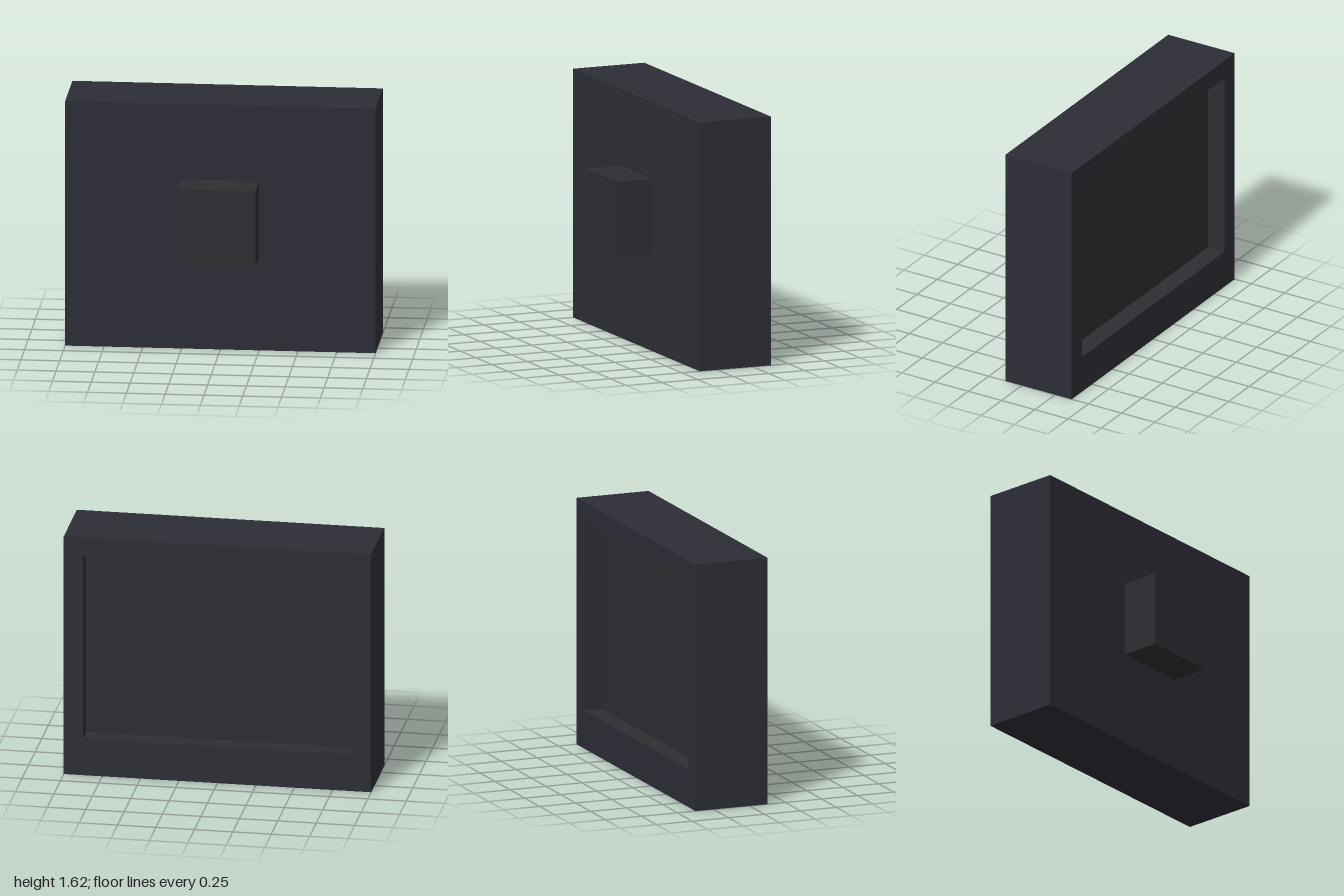
import * as THREE from 'three';

const shell = new THREE.MeshStandardMaterial({ name: 'dark slate', color: 0x2d2d36 });
const inset = new THREE.MeshStandardMaterial({ name: 'charcoal', color: 0x2d2e32 });

// Box without its -z face; inward turns the remaining faces to the inside
function backlessBox(w, h, d, inward = false) {
  const geo = new THREE.BoxGeometry(w, h, d);
  const index = Array.from(geo.index.array).slice(0, 30);
  geo.clearGroups();
  if (inward) {
    index.reverse();
    const n = geo.attributes.normal;
    for (let i = 0; i < n.array.length; i++) n.array[i] *= -1;
  }
  geo.setIndex(index);
  return geo;
}

function rect(target, x0, y0, x1, y1) {
  target.moveTo(x0, y0);
  target.lineTo(x1, y0);
  target.lineTo(x1, y1);
  target.lineTo(x0, y1);
  target.closePath();
  return target;
}

export function createModel() {
  const group = new THREE.Group();
  group.name = 'wallPanel';
  const add = (name, geo, mat, x, y, z) => {
    const mesh = new THREE.Mesh(geo, mat);
    mesh.name = name;
    mesh.position.set(x, y, z);
    group.add(mesh);
    return mesh;
  };

  // Main casing, closed at the back by the rim and the recess
  add('casing', backlessBox(2, 1.625, 0.5), shell, 0, 0.8125, -0.125);

  // Flat border around the recess, wider at the bottom
  const border = rect(new THREE.Shape(), -1, 0, 1, 1.625);
  border.holes.push(rect(new THREE.Path(), -0.875, 0.25, 0.875, 1.5));
  add('backRim', new THREE.ShapeGeometry(border), shell, 0, 0, -0.375).rotation.y = Math.PI;

  // Shallow sunken screen area: four walls and a flat panel
  add('screenRecess', backlessBox(1.75, 1.25, 0.125, true), inset, 0, 0.875, -0.3125);

  // Block standing out of the front
  add('mountBlock', backlessBox(0.5, 0.5, 0.25), inset, 0, 0.875, 0.25);

  return group;
}
